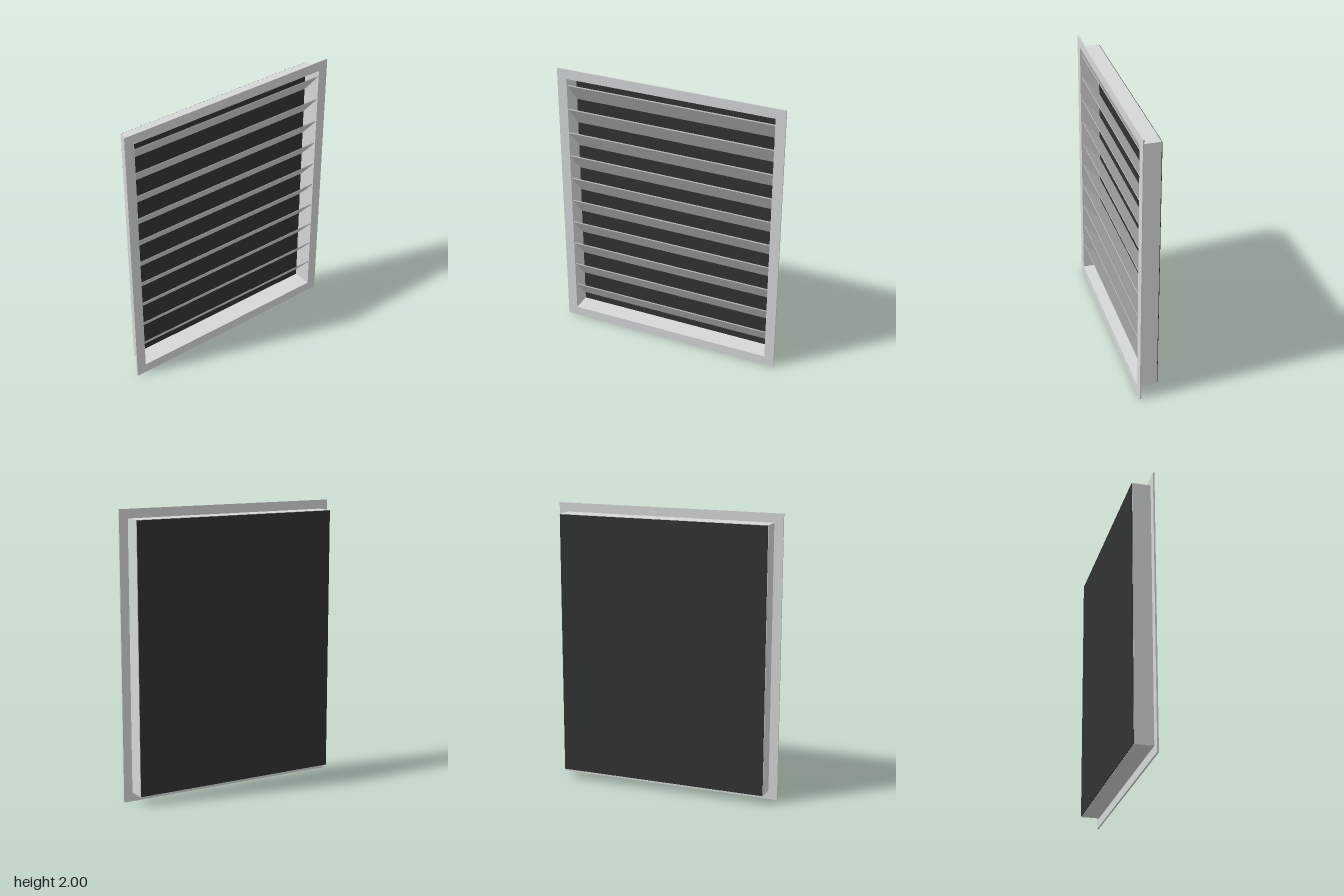
import * as THREE from 'three';

const material = (name, color) => {
  const m = new THREE.MeshStandardMaterial({ color });
  m.name = name;
  return m;
};

// Rectangular ring, extruded forwards from z
function ring(name, outerX, outerY, innerX, innerY, z, depth, mat) {
  const rect = (Type, x, y) => new Type([
    new THREE.Vector2(-x, -y), new THREE.Vector2(x, -y),
    new THREE.Vector2(x, y), new THREE.Vector2(-x, y),
  ]);
  const shape = rect(THREE.Shape, outerX, outerY);
  shape.holes.push(rect(THREE.Path, innerX, innerY));
  const mesh = new THREE.Mesh(
    new THREE.ExtrudeGeometry(shape, { depth, bevelEnabled: false }), mat);
  mesh.position.set(0, 1, z);
  mesh.name = name;
  return mesh;
}

export function createModel() {
  const model = new THREE.Group();
  model.name = 'louverVent';
  const lightGrey = material('lightGrey', 0xd4d8d7);
  const meshDark = material('meshDark', 0x313232);

  // Wall flange and the duct sleeve behind it
  model.add(ring('flange', 0.82, 1, 0.75, 0.93, 0.061, 0.011, lightGrey));
  model.add(ring('sleeve', 0.757, 0.937, 0.75, 0.93, -0.067, 0.128, lightGrey));

  // Dark screen closing the back
  const screen = new THREE.Mesh(new THREE.BoxGeometry(1.508, 1.868, 0.006), meshDark);
  screen.position.set(0, 1, -0.069);
  screen.name = 'backScreen';
  model.add(screen);

  // Sloping blades: high at the front, low at the back
  const profile = new THREE.Shape([
    new THREE.Vector2(0.062, 0.068), new THREE.Vector2(0.062, 0.077),
    new THREE.Vector2(-0.065, -0.072), new THREE.Vector2(-0.065, -0.081),
  ]);
  const bladeGeometry = new THREE.ExtrudeGeometry(profile, { depth: 1.5, bevelEnabled: false });
  bladeGeometry.translate(0, 0, -0.75).rotateY(-Math.PI / 2);

  const blades = new THREE.Group();
  blades.name = 'blades';
  for (let i = 0; i < 10; i++) {
    const blade = new THREE.Mesh(bladeGeometry, lightGrey);
    blade.position.y = 0.2 + i * 0.1786;
    blade.name = 'blade' + (i + 1);
    blades.add(blade);
  }
  model.add(blades);
  return model;
}
